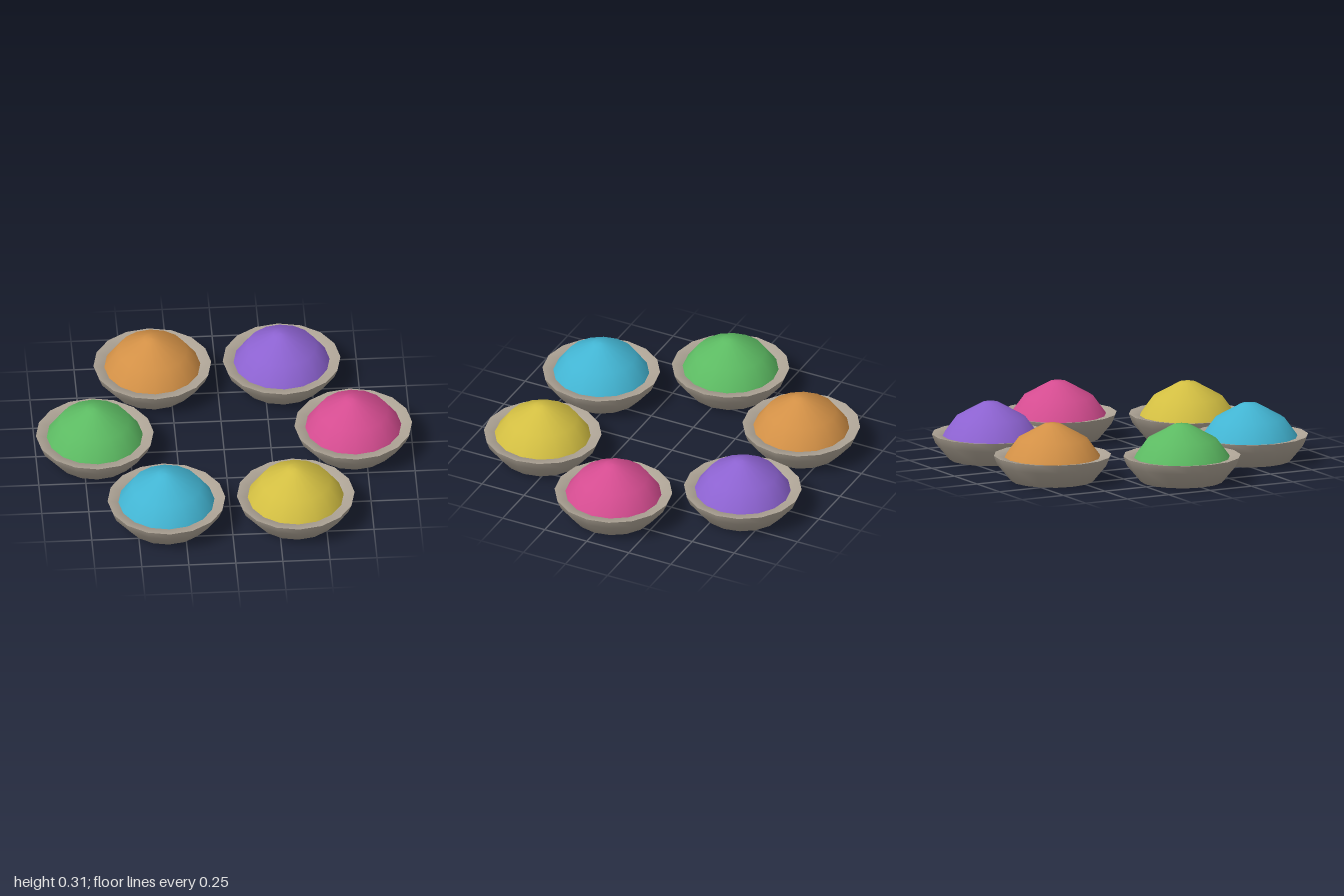
import * as THREE from 'three';

const SIDES = 16;
const RING_RADIUS = 0.687;

function material(name, color) {
  const m = new THREE.MeshStandardMaterial({ color });
  m.name = name;
  return m;
}

// Revolve a short [radius, height] profile
function lathe(profile) {
  return new THREE.LatheGeometry(profile.map(([r, y]) => new THREE.Vector2(r, y)), SIDES);
}

function part(name, geometry, mat) {
  const mesh = new THREE.Mesh(geometry, mat);
  mesh.name = name;
  return mesh;
}

export function createModel() {
  const model = new THREE.Group();
  model.name = 'pigmentBowls';

  const clay = material('clay', 0xada395);
  // Counted from the model's left, going round towards the front
  const pigments = [
    material('magenta', 0xd44c90),
    material('yellow', 0xd2be42),
    material('blue', 0x42b4d2),
    material('green', 0x5cba62),
    material('orange', 0xd29046),
    material('purple', 0x8c62d0),
  ];

  // Outer wall with its foot, and the rim sloping inwards, kept apart for a sharp lip
  const wall = lathe([[0, 0], [0.22, 0], [0.295, 0.09], [0.313, 0.137]]);
  const rim = lathe([[0.313, 0.137], [0.253, 0.127], [0.2, 0.08], [0, 0.06]]);
  // Heaped powder
  const heap = lathe([[0.262, 0.115], [0.25, 0.137], [0.185, 0.226], [0.045, 0.304], [0, 0.307]]);

  pigments.forEach((pigment, i) => {
    const angle = (i * Math.PI) / 3;
    const bowl = new THREE.Group();
    bowl.name = `${pigment.name}Bowl`;
    bowl.add(
      part('bowlWall', wall, clay),
      part('bowlRim', rim, clay),
      part('powderHeap', heap, pigment),
    );
    bowl.position.set(Math.cos(angle) * RING_RADIUS, 0, Math.sin(angle) * RING_RADIUS);
    model.add(bowl);
  });

  return model;
}
